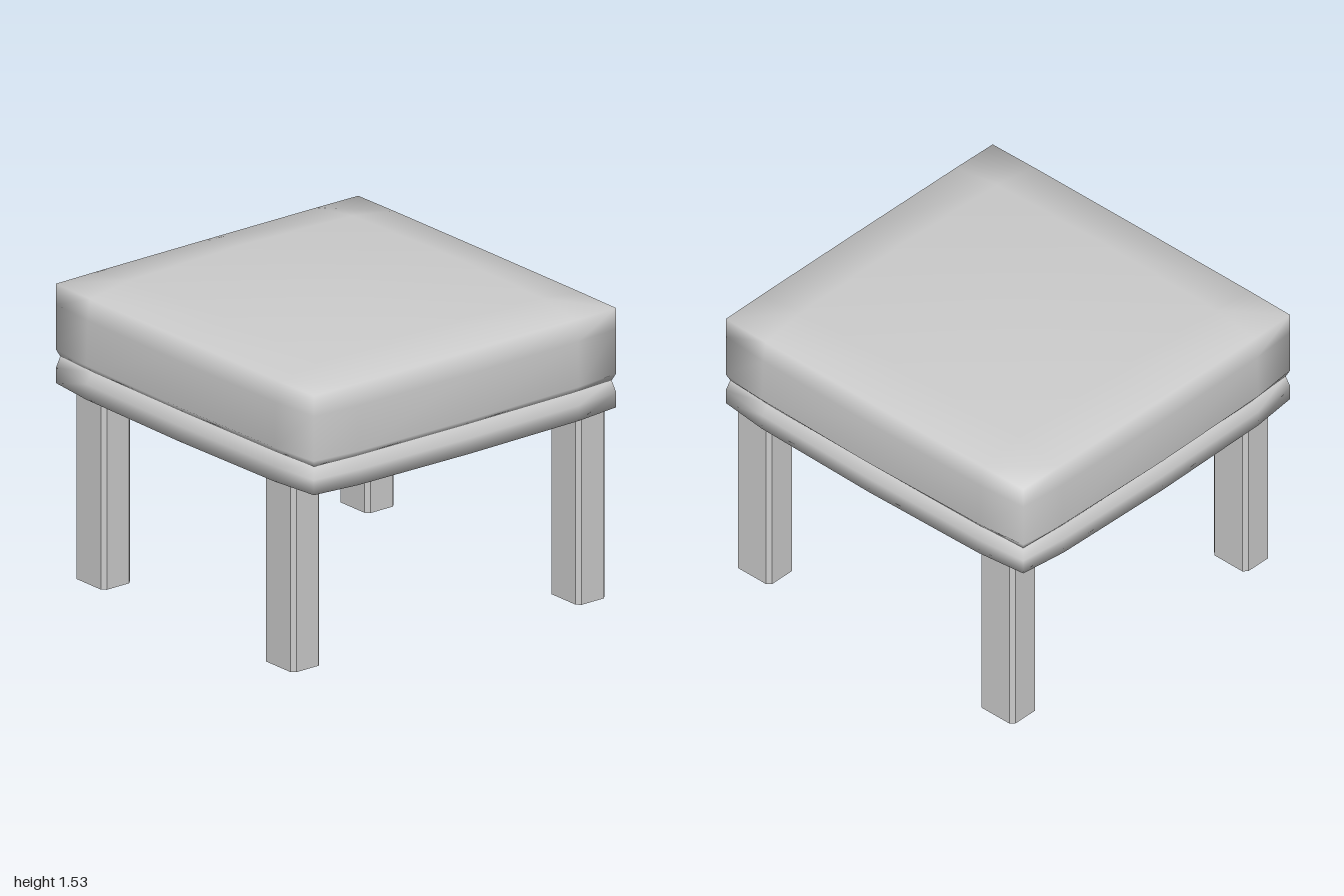
import * as THREE from 'three';
import { mergeVertices } from 'three/addons/utils/BufferGeometryUtils.js';

const material = new THREE.MeshStandardMaterial({ color: 0xcccccc });

// Soft pad: a coarse box with bulging sides and domed top and bottom, smooth all over.
// rows, bottom to top: [y, half width at the corners, extra bulge at mid side]
function pad(name, rows, domeTop, domeBottom) {
  const n = rows.length - 1;
  const box = new THREE.BoxGeometry(2, 2, 2, 4, n, 4);
  box.deleteAttribute('normal');
  box.deleteAttribute('uv');
  const geo = mergeVertices(box, 1e-4);
  const p = geo.attributes.position;
  const remap = (t) => (Math.abs(Math.abs(t) - 0.5) < 0.01 ? Math.sign(t) * 0.73 : t);
  const swell = (t) => 1 - t ** 4;
  for (let i = 0; i < p.count; i++) {
    const u = remap(p.getX(i));
    const w = remap(p.getZ(i));
    const r = Math.round(((p.getY(i) + 1) / 2) * n);
    const [y, half, bulge] = rows[r];
    const dome = r === n ? domeTop : r === 0 ? -domeBottom : 0;
    p.setXYZ(
      i,
      u * (half + bulge * swell(w)),
      y + dome * swell(u) * swell(w),
      w * (half - 0.04 + bulge * swell(u))
    );
  }
  geo.computeVertexNormals();
  const mesh = new THREE.Mesh(geo, material);
  mesh.name = name;
  return mesh;
}

// Square post with narrow chamfers on its four upright edges
function leg(name, x, z) {
  const a = 0.11, b = 0.088, c = 0.02, height = 0.98;
  const shape = new THREE.Shape([
    [a, b - c], [a - c, b], [c - a, b], [-a, b - c],
    [-a, c - b], [c - a, -b], [a - c, -b], [a, c - b],
  ].map(([px, py]) => new THREE.Vector2(px, py)));
  const geo = new THREE.ExtrudeGeometry(shape, { depth: height, bevelEnabled: false });
  geo.rotateX(-Math.PI / 2);
  const mesh = new THREE.Mesh(geo, material);
  mesh.name = name;
  mesh.position.set(x, 0, z);
  return mesh;
}

export function createModel() {
  const stool = new THREE.Group();
  stool.name = 'footstool';

  // Thick cushion over a thin padded base, with a pinched seam between them
  stool.add(
    pad('cushion', [[1.1, 0.945, 0.02], [1.135, 0.96, 0.038], [1.36, 0.96, 0.026], [1.465, 0.96, 0.005]], 0.068, 0),
    pad('base', [[0.965, 0.96, 0.04], [1.04, 0.96, 0.035], [1.1, 0.945, 0.02]], 0, 0.11)
  );

  // The legs are not quite evenly placed
  stool.add(
    leg('frontLeftLeg', 0.65, 0.795),
    leg('frontRightLeg', -0.76, 0.795),
    leg('backLeftLeg', 0.81, -0.81),
    leg('backRightLeg', -0.76, -0.81)
  );
  return stool;
}
